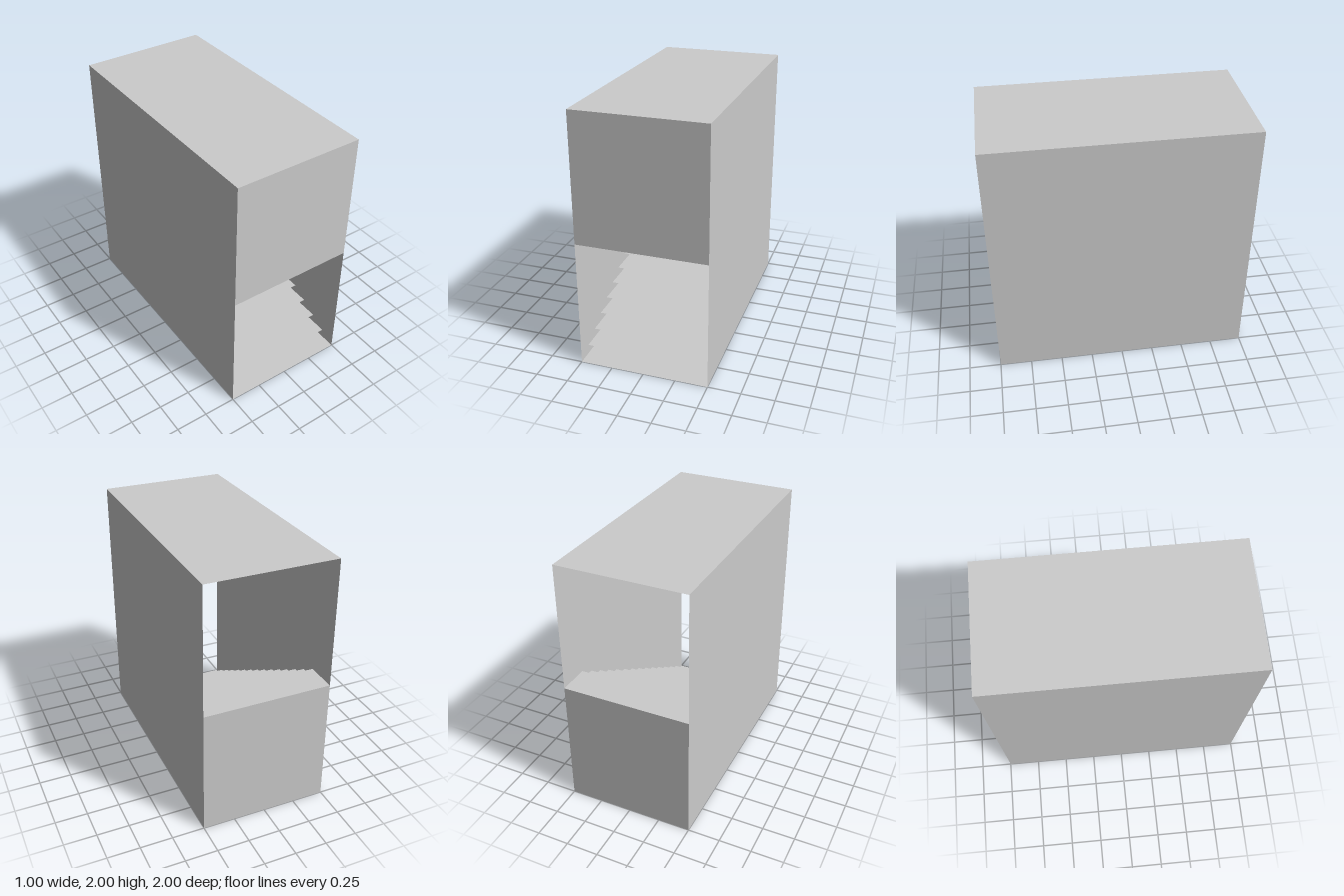
import * as THREE from 'three';

const WIDTH = 1, HEIGHT = 2, DEPTH = 2;
const RISERS = 14, TREAD_DEPTH = 0.25;

export function createModel() {
  const model = new THREE.Group();
  model.name = 'enclosedStaircase';
  const material = new THREE.MeshStandardMaterial({ color: 0xcccccc, side: THREE.DoubleSide });

  // Thin sheet of size w x h, turned about x (rx) or y (ry)
  function sheet(name, w, h, [x, y, z], rx = 0, ry = 0, parent = model) {
    const mesh = new THREE.Mesh(new THREE.PlaneGeometry(w, h), material);
    mesh.name = name;
    mesh.position.set(x, y, z);
    mesh.rotation.set(rx, ry, 0);
    parent.add(mesh);
  }
  const flat = -Math.PI / 2;

  // Side walls
  for (const [name, s] of [['leftWall', 1], ['rightWall', -1]]) {
    sheet(name, DEPTH, HEIGHT, [s * WIDTH / 2, HEIGHT / 2, 0], 0, s * Math.PI / 2);
  }

  // Roof, and the floor behind the bottom tread
  sheet('roof', WIDTH, DEPTH, [0, HEIGHT, 0], flat);
  sheet('floor', WIDTH, DEPTH - TREAD_DEPTH, [0, 0, -TREAD_DEPTH / 2], flat);

  // Half-height end walls: open below at the front, open above at the back
  sheet('frontUpperWall', WIDTH, HEIGHT / 2, [0, HEIGHT * 0.75, DEPTH / 2]);
  sheet('backLowerWall', WIDTH, HEIGHT / 2, [0, HEIGHT * 0.25, -DEPTH / 2], 0, Math.PI);

  // Open, overlapping treads climbing from the front entrance to the back one
  const stairs = new THREE.Group();
  stairs.name = 'stairs';
  model.add(stairs);
  const going = (DEPTH - TREAD_DEPTH) / RISERS;
  for (let i = 0; i <= RISERS; i++) {
    const y = (i / RISERS) * HEIGHT / 2;
    const z = DEPTH / 2 - TREAD_DEPTH / 2 - i * going;
    sheet(`tread${i + 1}`, WIDTH, TREAD_DEPTH, [0, y, z], flat, 0, stairs);
  }

  return model;
}
